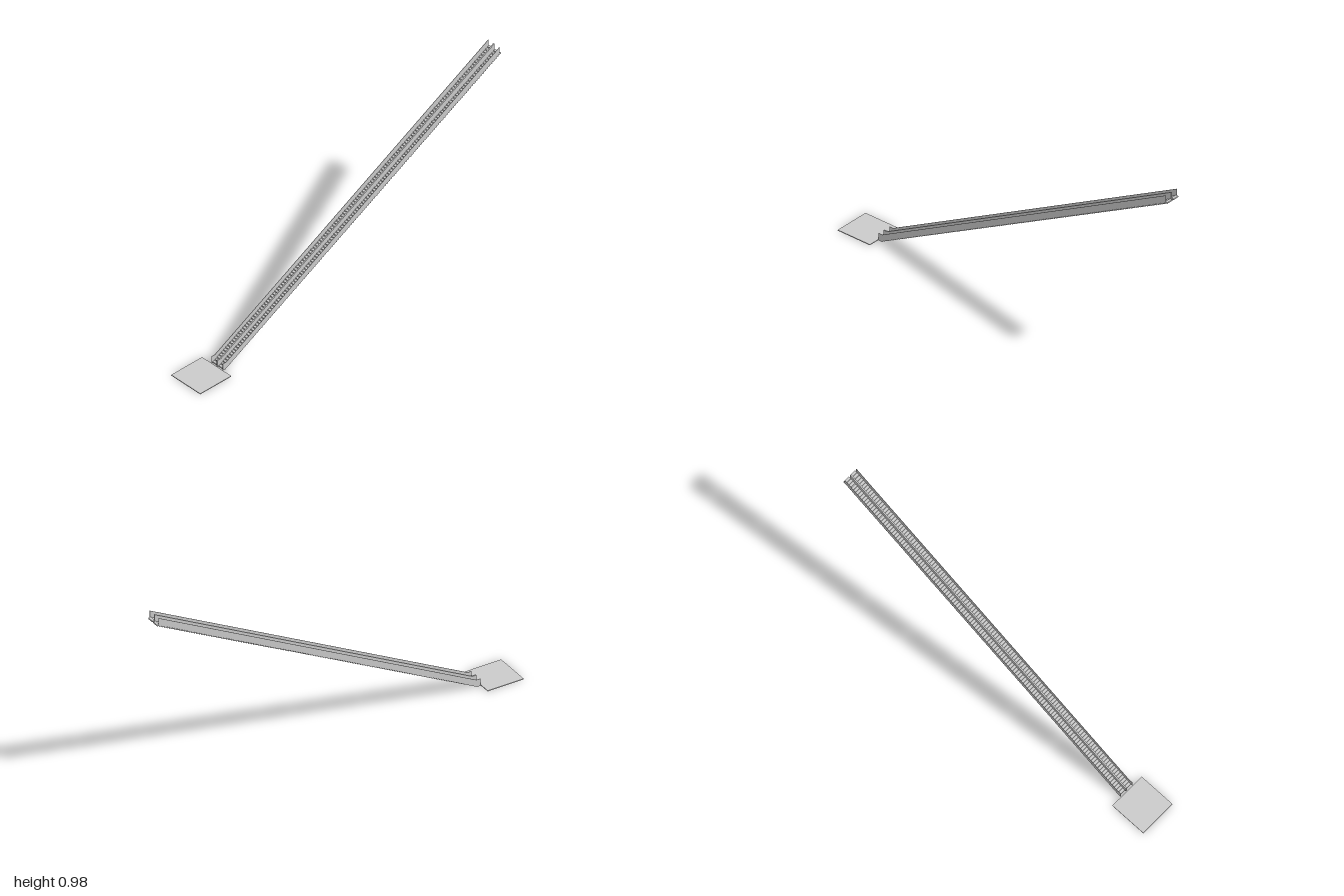
import * as THREE from 'three';

export function createModel() {
  const model = new THREE.Group();
  model.name = 'longStaircase';
  const material = new THREE.MeshStandardMaterial({ color: 0xcccccc, flatShading: true });

  function box(name, parent, w, h, d, x, y, z) {
    const mesh = new THREE.Mesh(new THREE.BoxGeometry(w, h, d), material);
    mesh.name = name;
    mesh.position.set(x, y, z);
    parent.add(mesh);
  }

  // Landing plate at the foot
  box('landing', model, 0.2, 0.004, 0.2, 0, 0.002, 0.9);

  // Two parallel flights of block steps
  const count = 130, rise = 0.943 / count, run = 1.79 / count;
  for (const side of [-1, 1]) {
    const flight = new THREE.Group();
    flight.name = side > 0 ? 'leftFlight' : 'rightFlight';
    for (let i = 0; i < count; i++) {
      box('step', flight, 0.036, rise * 0.93, run,
        side * 0.0215, (i + 0.465) * rise, 0.79 - (i + 0.5) * run);
    }
    model.add(flight);
  }

  // Sloping side panels and centre divider, profile drawn as (-z, y)
  const profile = new THREE.Shape([
    [-0.797, 0], [-0.782, 0], [0.992, 0.941], [0.992, 0.979], [-0.775, 0.04], [-0.797, 0.04],
  ].map(([a, b]) => new THREE.Vector2(a, b)));

  function panel(name, x, thickness) {
    const geometry = new THREE.ExtrudeGeometry(profile, { depth: thickness, bevelEnabled: false });
    geometry.translate(0, 0, -thickness / 2);
    geometry.rotateY(Math.PI / 2);
    const mesh = new THREE.Mesh(geometry, material);
    mesh.name = name;
    mesh.position.x = x;
    model.add(mesh);
  }
  panel('leftPanel', 0.039, 0.002);
  panel('rightPanel', -0.039, 0.002);
  panel('centreDivider', 0, 0.007);

  return model;
}
